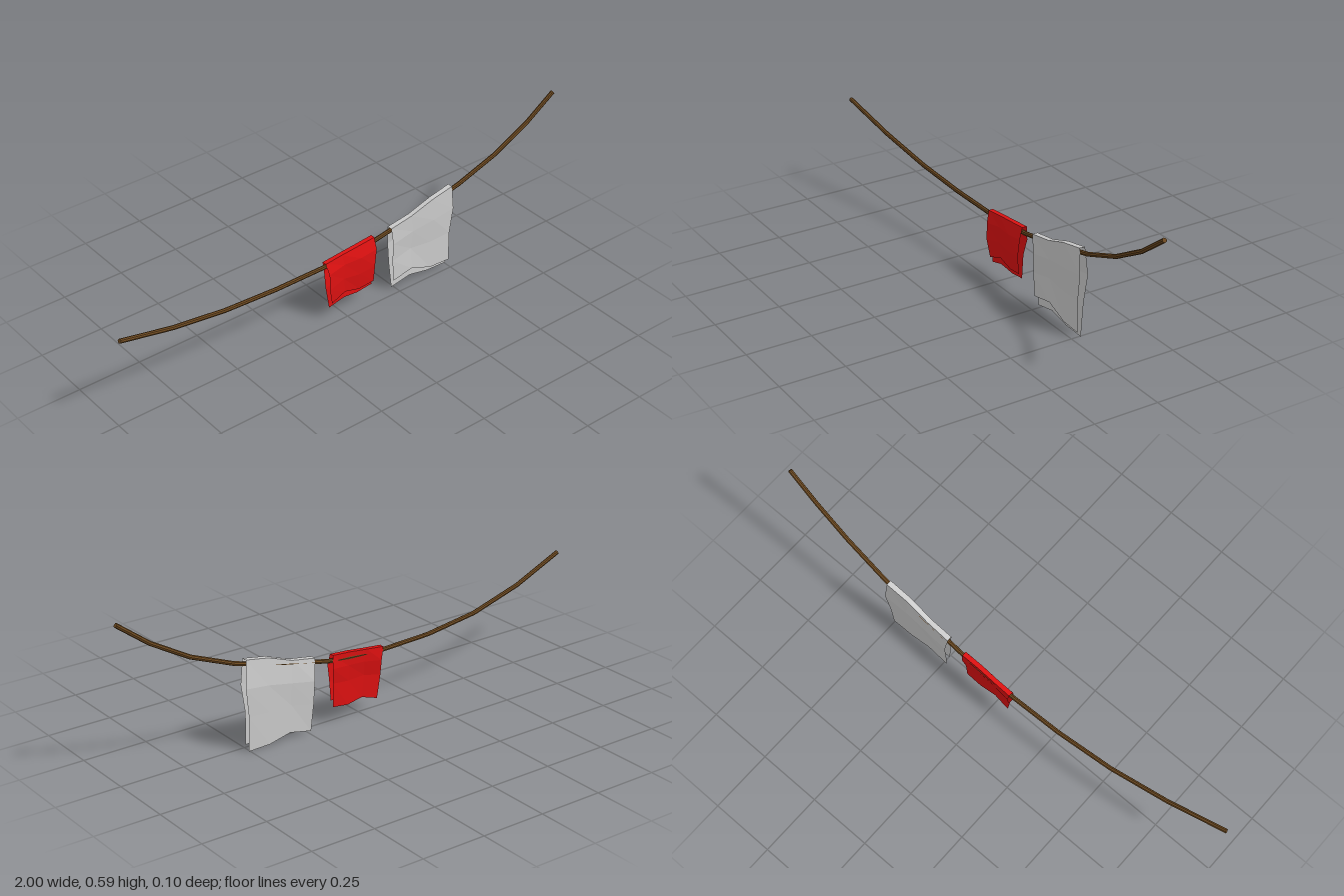
import * as THREE from 'three';

const ropePoints = [
  [-0.995, 0.387, 0.042], [-0.765, 0.315, 0.01], [-0.53, 0.265, -0.015], [-0.3, 0.242, -0.029],
  [-0.07, 0.237, -0.035], [0.15, 0.253, -0.035], [0.36, 0.295, -0.032], [0.55, 0.344, -0.026],
  [0.72, 0.41, -0.019], [0.87, 0.495, -0.012], [0.993, 0.588, -0.006],
].map((p) => new THREE.Vector3(...p));

const material = (color) =>
  new THREE.MeshStandardMaterial({ color, flatShading: true, side: THREE.DoubleSide });

// Sagging rope: one straight tube section between each pair of points, closed at both ends
function makeRope() {
  const group = new THREE.Group();
  group.name = 'rope';
  const mat = material(0x6b4820);
  const radius = 0.0085;
  const curve = new THREE.CatmullRomCurve3(ropePoints);
  curve.getPointAt = (t, target) => curve.getPoint(t, target);
  curve.getTangentAt = (t, target) => curve.getTangent(t, target);
  const tube = new THREE.Mesh(new THREE.TubeGeometry(curve, ropePoints.length - 1, radius, 8), mat);
  tube.name = 'ropeLength';
  group.add(tube);
  for (const [t, sign] of [[0, -1], [1, 1]]) {
    const cap = new THREE.Mesh(new THREE.CircleGeometry(radius, 8), mat);
    cap.name = 'ropeEnd';
    cap.position.copy(curve.getPoint(t));
    cap.lookAt(cap.position.clone().addScaledVector(curve.getTangent(t), sign));
    group.add(cap);
  }
  return group;
}

// Cloth folded over the rope: rows run from the front hem, over the ridge, to the back hem.
// Each row is [drop from ridge 0..1, z, left edge x, right edge x, z ripple].
function makeCloth(name, color, ridge, frontHem, backHem, frontRows, backRows) {
  const rows = [
    ...frontRows.map((r) => [...r, frontHem]).reverse(),
    ...backRows.map((r) => [...r, backHem]),
  ];
  const cols = ridge.length;
  const positions = [];
  const index = [];
  rows.forEach(([drop, z, left, right, ripple, hem], j) => {
    for (let i = 0; i < cols; i++) {
      const x = THREE.MathUtils.lerp(left, right, i / (cols - 1));
      const y = THREE.MathUtils.lerp(ridge[i], hem[i], drop);
      positions.push(x, y, z + ripple * Math.cos(i * 2.1 + j * 0.6));
      if (i && j) {
        const a = (j - 1) * cols + i - 1;
        index.push(a, a + 1, a + cols, a + 1, a + cols + 1, a + cols);
      }
    }
  });
  const geometry = new THREE.BufferGeometry();
  geometry.setAttribute('position', new THREE.Float32BufferAttribute(positions, 3));
  geometry.setIndex(index);
  geometry.computeVertexNormals();
  const mesh = new THREE.Mesh(geometry, material(color));
  mesh.name = name;
  return mesh;
}

export function createModel() {
  const group = new THREE.Group();
  group.name = 'clothesLine';
  group.add(makeRope());

  // Small red cloth
  group.add(makeCloth('redCloth', 0xdd1111,
    [0.254, 0.262, 0.27, 0.276], [0.075, 0.097, 0.08, 0.09], [0.05, 0.07, 0.06, 0.068],
    [[0, -0.026, -0.08, 0.145, 0.001], [0.25, -0.015, -0.072, 0.147, 0.004],
      [0.62, -0.015, -0.072, 0.138, 0.004], [1, -0.021, -0.058, 0.137, 0.003]],
    [[0, -0.044, -0.08, 0.145, 0.001], [0.25, -0.042, -0.072, 0.147, 0.004],
      [0.55, -0.033, -0.074, 0.138, 0.003], [1, -0.03, -0.062, 0.137, 0.003]]));

  // Large grey cloth
  group.add(makeCloth('greyCloth', 0xcccccc,
    [0.284, 0.3, 0.334, 0.352], [0.045, 0.06, 0.025, 0.023], [0.005, 0.023, 0.004, 0.001],
    [[0, -0.019, 0.22, 0.512, 0.002], [0.3, -0.018, 0.229, 0.52, 0.003],
      [0.62, -0.023, 0.228, 0.506, 0.004], [1, -0.022, 0.236, 0.507, 0.002]],
    [[0, -0.039, 0.22, 0.512, 0.002], [0.3, -0.047, 0.228, 0.52, 0.003],
      [0.62, -0.041, 0.23, 0.506, 0.003], [1, -0.036, 0.238, 0.504, 0.001]]));
  return group;
}
